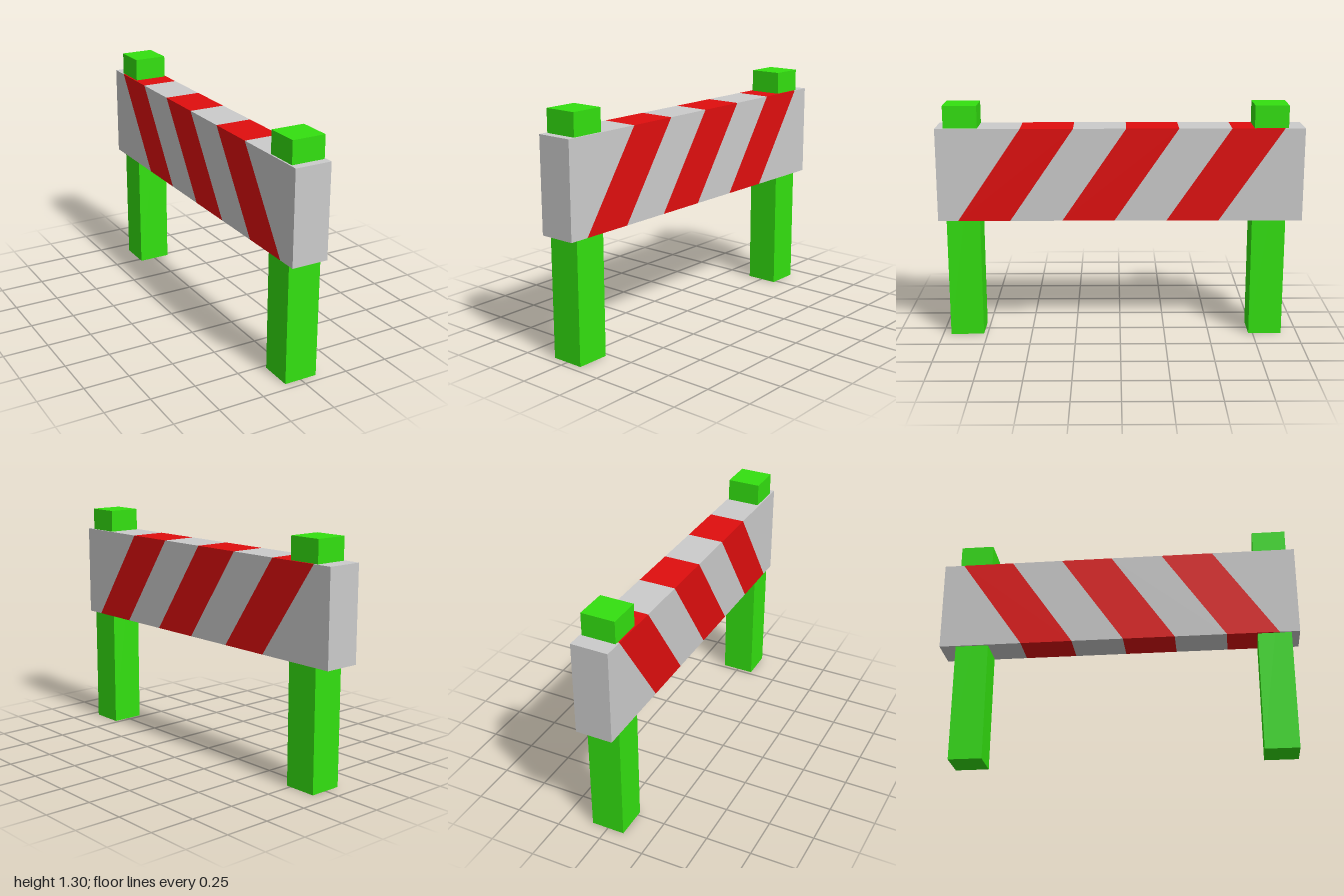
import * as THREE from 'three';

const BOTTOM = 0.665, TOP = 1.177, BOARD_WIDTH = 0.202;
const POST_WIDTH = 0.184, POST_HEIGHT = 1.3;

export function createModel() {
  const model = new THREE.Group();
  model.name = 'roadBarrier';
  const grey = new THREE.MeshStandardMaterial({ color: 0xcccccc, flatShading: true });
  const red = new THREE.MeshStandardMaterial({ color: 0xe00e0e, flatShading: true });
  const green = new THREE.MeshStandardMaterial({ color: 0x33e010, flatShading: true });

  // Slanted board slices: [bottom, top] distance along the board, from +z to -z
  const cuts = [[-1, -1]];
  for (let i = 0; i < 3; i++) {
    const start = -0.89 + i * 0.572;
    cuts.push([start, start + 0.35], [start + 0.286, start + 0.636]);
  }
  cuts.push([1, 1]);

  const board = new THREE.Group();
  board.name = 'board';
  for (let i = 0; i < cuts.length - 1; i++) {
    const [a, b] = [cuts[i], cuts[i + 1]];
    const shape = new THREE.Shape([
      new THREE.Vector2(a[0], BOTTOM), new THREE.Vector2(b[0], BOTTOM),
      new THREE.Vector2(b[1], TOP), new THREE.Vector2(a[1], TOP),
    ]);
    const geometry = new THREE.ExtrudeGeometry(shape, { depth: BOARD_WIDTH, bevelEnabled: false });
    geometry.translate(0, 0, -BOARD_WIDTH / 2).rotateY(Math.PI / 2);
    const isStripe = i % 2 === 1;
    const slice = new THREE.Mesh(geometry, isStripe ? red : grey);
    slice.name = isStripe ? 'redStripe' : 'greyPanel';
    board.add(slice);
  }
  model.add(board);

  // Square posts running up through the board
  for (const [name, z] of [['frontPost', 0.863], ['backPost', -0.818]]) {
    const post = new THREE.Mesh(new THREE.BoxGeometry(POST_WIDTH, POST_HEIGHT, POST_WIDTH), green);
    post.name = name;
    post.position.set(0, POST_HEIGHT / 2, z);
    model.add(post);
  }
  return model;
}
